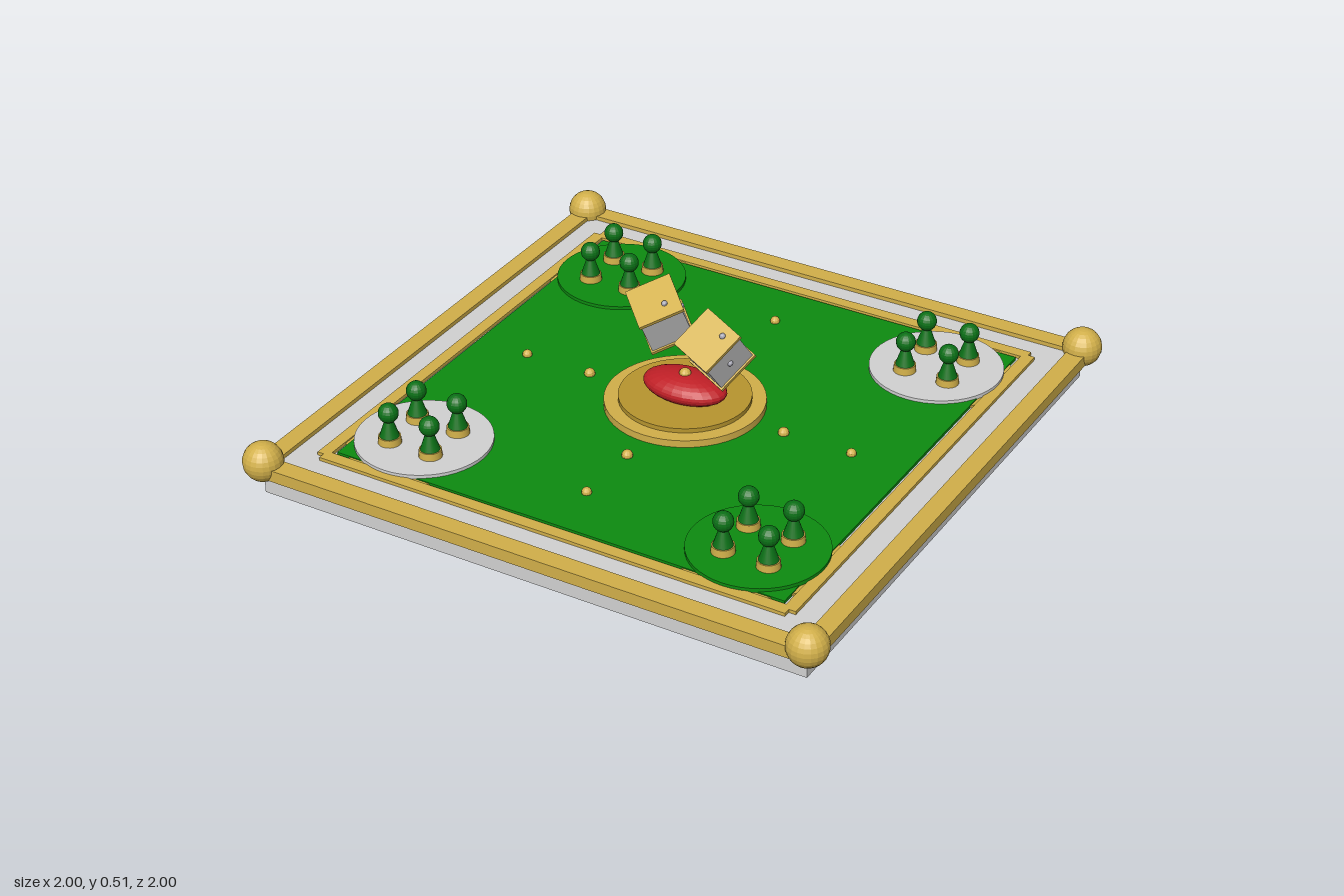
import * as THREE from 'three';

const mat = (name, color) => {
  const m = new THREE.MeshStandardMaterial({ color });
  m.name = name;
  return m;
};

export function createModel() {
  const stone = mat('pale stone', 0xd2d2d2);
  const gold = mat('gold', 0xd2b04a);
  const darkGold = mat('dark gold', 0xb8962f);
  const felt = mat('felt green', 0x0d8c10);
  const pawnGreen = mat('pawn green', 0x0a7016);
  const red = mat('ruby red', 0xc01f26);
  const silver = mat('silver', 0xa8a8b4);

  const model = new THREE.Group();
  model.name = 'boardGame';

  const add = (name, geometry, material, x = 0, y = 0, z = 0, parent = model) => {
    const mesh = new THREE.Mesh(geometry, material);
    mesh.name = name;
    mesh.position.set(x, y, z);
    parent.add(mesh);
    return mesh;
  };
  const box = (w, h, d) => new THREE.BoxGeometry(w, h, d);
  const disc = (r, h, rTop = r, n = 48) => new THREE.CylinderGeometry(rTop, r, h, n);
  // Faceted ball
  const ball = (r, w = 20, h = 14) => {
    const g = new THREE.SphereGeometry(r, w, h).toNonIndexed();
    g.computeVertexNormals();
    return g;
  };

  // Board slab and raised felt
  add('slab', box(1.87, 0.096, 1.87), stone, 0, 0.048, 0);
  add('felt', box(1.55, 0.012, 1.55), felt, 0, 0.1, 0);

  // Outer rails and thin inner border on all four sides
  for (const s of [-1, 1]) {
    add('railAcross', box(1.87, 0.04, 0.062), gold, 0, 0.09, s * 0.935);
    add('railAlong', box(0.062, 0.04, 1.87), gold, s * 0.935, 0.09, 0);
    add('borderAcross', box(1.61, 0.014, 0.041), gold, 0, 0.1, s * 0.807);
    add('borderAlong', box(0.041, 0.014, 1.61), gold, s * 0.807, 0.1, 0);
    // Gold studs along both axes
    for (const [d, r] of [[0.35, 0.018], [0.585, 0.016]]) {
      add('stud', ball(r, 12, 8), gold, s * d, 0.11, 0);
      add('stud', ball(r, 12, 8), gold, 0, 0.11, s * d);
    }
  }

  // One pawn standing on a corner disc
  const addPawn = (x, z, parent) => {
    const pawn = new THREE.Group();
    pawn.name = 'pawn';
    pawn.position.set(x, 0.117, z);
    parent.add(pawn);
    add('pawnBase', disc(0.037, 0.024, 0.035, 20), gold, 0, 0.012, 0, pawn);
    add('pawnBody', disc(0.031, 0.06, 0.011, 20), pawnGreen, 0, 0.054, 0, pawn);
    add('pawnHead', ball(0.032, 16, 12), pawnGreen, 0, 0.104, 0, pawn);
  };

  // Corner balls, home discs and their pawns
  for (const sx of [-1, 1]) {
    for (const sz of [-1, 1]) {
      add('cornerBall', ball(0.064), gold, sx * 0.935, 0.112, sz * 0.935);
      const home = new THREE.Group();
      home.name = 'home';
      home.position.set(sx * 0.585, 0, sz * 0.585);
      model.add(home);
      add('homeTrim', disc(0.24, 0.008), gold, 0, 0.0985, 0, home);
      add('homeDisc', disc(0.215, 0.014), sx === sz ? felt : stone, 0, 0.11, 0, home);
      for (const px of [-0.075, 0.075]) {
        for (const pz of [-0.075, 0.075]) addPawn(px, pz, home);
      }
    }
  }

  // Centre plinth with the red dome and its finial
  add('plinthRim', disc(0.255, 0.028), gold, 0, 0.116, 0);
  add('plinthTop', disc(0.21, 0.026), darkGold, 0, 0.132, 0);
  const dome = add('dome', ball(1, 24, 16), red, 0, 0.173, 0);
  dome.scale.set(0.143, 0.046, 0.088);
  add('finial', ball(0.02, 12, 8), gold, 0, 0.215, 0);

  // Floating dice: pale cubes capped by two gold plates
  const dice = [
    { at: [-0.142, 0.34, -0.093], tilt: 0.52, turn: 0.78, pip: [0.026, 0.026] },
    { at: [0.152, 0.388, 0.08], tilt: 0.7, turn: -0.4, pip: [0.03, -0.04] },
  ];
  for (const { at, tilt, turn, pip } of dice) {
    const die = new THREE.Group();
    die.name = 'die';
    die.position.set(...at);
    die.rotation.set(tilt, turn, 0);
    model.add(die);
    add('dieCube', box(0.138, 0.138, 0.138), stone, 0, 0, 0, die);
    for (const s of [-1, 1]) {
      add('diePlate', box(0.15, 0.012, 0.15), gold, 0, s * 0.074, 0, die);
      add('platePip', ball(0.01, 10, 8), silver, pip[0], s * 0.08, pip[1], die);
    }
    add('sidePip', ball(0.01, 10, 8), silver, 0.069, 0, 0, die);
  }

  return model;
}
